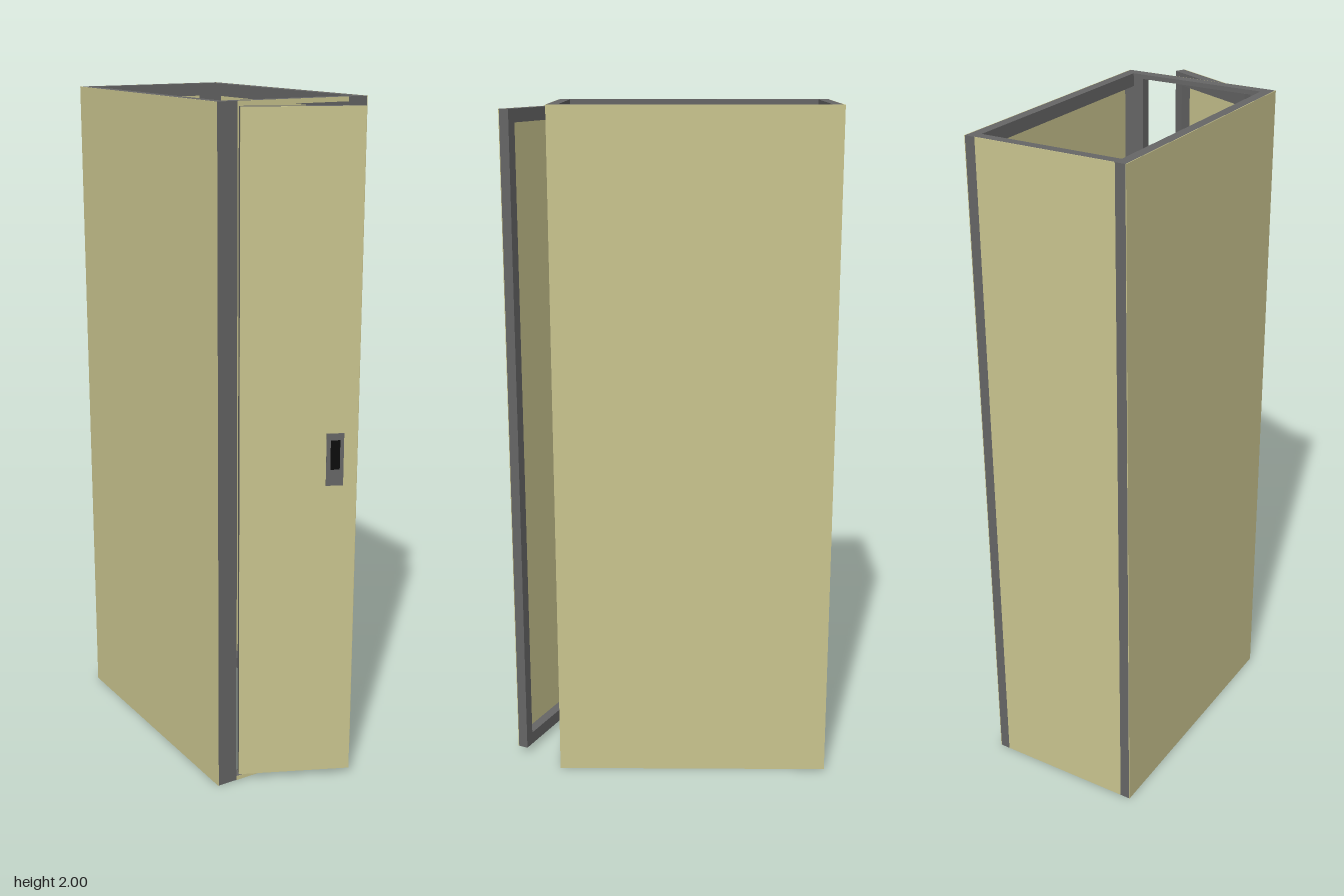
import * as THREE from 'three';

const steel = new THREE.MeshStandardMaterial({ color: 0x666666 });
const paint = new THREE.MeshStandardMaterial({ color: 0xcac58f });
const black = new THREE.MeshStandardMaterial({ color: 0x0c0c0c });

const BAR = 0.032, RAIL = 0.038, SKIN = 0.002;
const W = 0.242, BACK = -0.48, FRONT = 0.335, H = 2;

// Box given by its min and max corners
function box(parent, name, material, [x0, y0, z0], [x1, y1, z1]) {
  const mesh = new THREE.Mesh(new THREE.BoxGeometry(x1 - x0, y1 - y0, z1 - z0), material);
  mesh.position.set((x0 + x1) / 2, (y0 + y1) / 2, (z0 + z1) / 2);
  mesh.name = name;
  parent.add(mesh);
  return mesh;
}

// Rectangular bar frame in the local xy plane: its front at z = 0, its depth towards -z
function frame(name, width, y0, y1, depth, rail) {
  const g = new THREE.Group();
  g.name = name;
  for (const x of [0, width - BAR]) box(g, 'stile', steel, [x, y0, -depth], [x + BAR, y1, 0]);
  for (const y of [y0, y1 - rail])
    box(g, 'rail', steel, [BAR, y, -depth], [width - BAR, y + rail, 0]);
  return g;
}

export function createModel() {
  const model = new THREE.Group();
  model.name = 'locker';
  const inner = W - BAR;
  const depth = FRONT - BACK;

  // Side walls: bar frame with a full outer sheet
  for (const s of [-1, 1]) {
    const side = frame(s > 0 ? 'leftWall' : 'rightWall', depth, 0, H, BAR - SKIN, RAIL);
    box(side, 'sidePanel', paint, [0, 0, 0], [depth, H, SKIN]);
    side.rotation.y = s * Math.PI / 2;
    side.position.set(s * (W - SKIN), 0, s > 0 ? FRONT : BACK);
    model.add(side);
  }

  // Back wall: framed sheet between the corner posts
  const back = frame('backWall', inner * 2, 0, H, BAR - SKIN, RAIL);
  box(back, 'backPanel', paint, [0, 0, 0], [inner * 2, H, SKIN]);
  back.rotation.y = Math.PI;
  back.position.set(inner, 0, BACK + SKIN);
  model.add(back);

  // Door surround with slim painted header and sill
  const surround = frame('doorSurround', inner * 2, 0, H, BAR, 0.013);
  for (const y of [0, H - 0.013])
    box(surround, 'railCover', paint, [BAR, y, 0], [inner * 2 - BAR, y + 0.013, 0.001]);
  surround.position.set(-inner, 0, FRONT);
  model.add(surround);

  // Door, hinged on the right post and standing ajar
  const doorWidth = 0.336, low = 0.018, high = 1.985;
  const door = frame('door', doorWidth, low, high, 0.03, RAIL);
  box(door, 'doorPanel', paint, [0, low, 0], [doorWidth, high, SKIN]);
  box(door, 'handlePlate', steel, [0.247, 0.93, SKIN], [0.297, 1.085, 0.004]);
  box(door, 'handleSlot', black, [0.259, 0.978, 0.004], [0.286, 1.065, 0.005]);
  door.position.set(-0.17, 0, FRONT);
  door.rotation.y = -0.43;
  model.add(door);

  return model;
}
